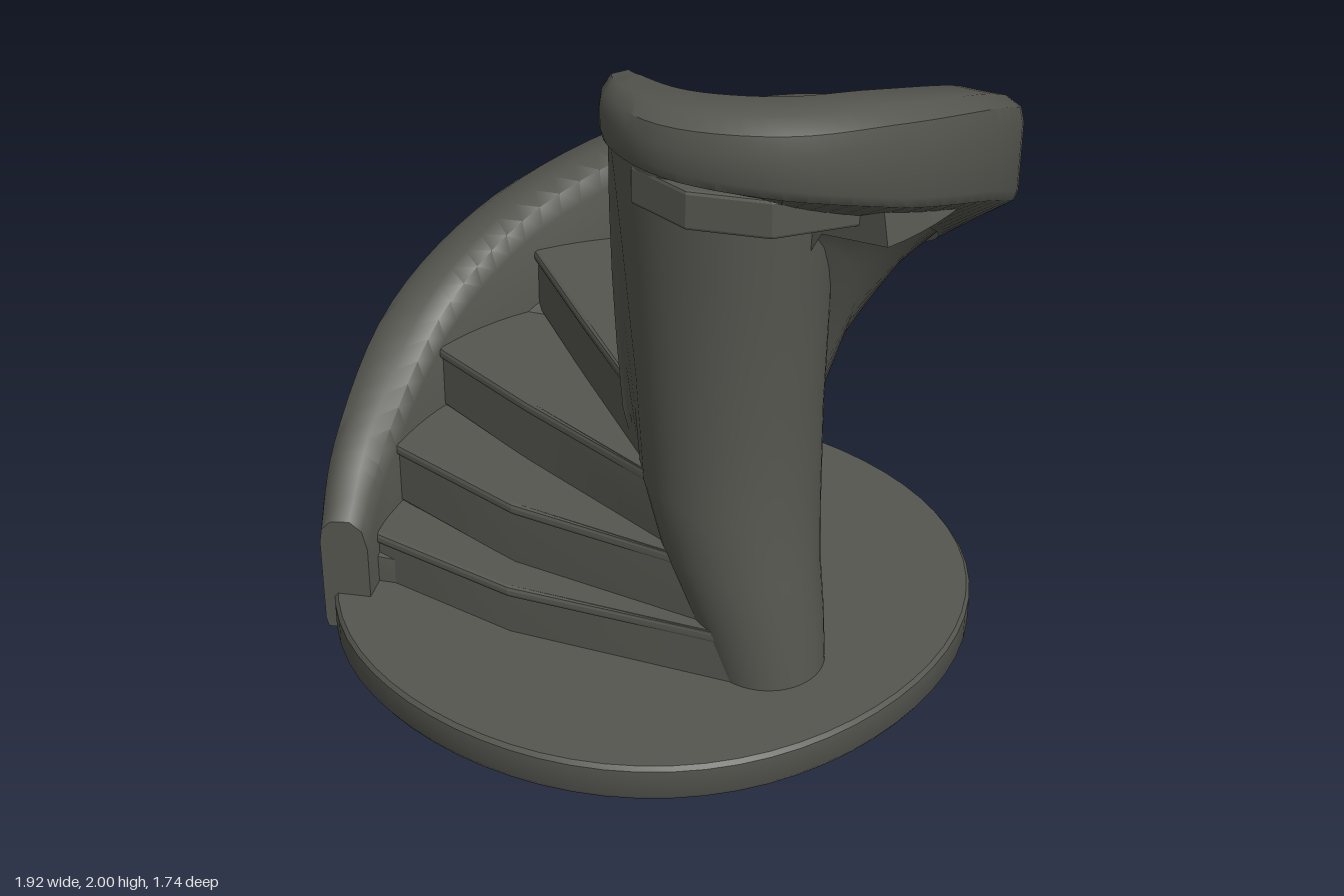
import * as THREE from 'three';
import { toCreasedNormals, mergeVertices } from 'three/addons/utils/BufferGeometryUtils.js';

const stone = new THREE.MeshStandardMaterial({ color: 0x55564f });
stone.name = 'dark stone';

const V = (x, y, z) => new THREE.Vector3(x, y, z);
const lerp = THREE.MathUtils.lerp;

// Solid skinned over closed rings of equal length, capped at both ends
function loft(rings, crease) {
  const n = rings[0].length, pts = rings.flat(), idx = [];
  for (let r = 0; r < rings.length - 1; r++)
    for (let i = 0; i < n; i++) {
      const a = r * n + i, b = r * n + (i + 1) % n;
      idx.push(a, b, a + n, b, b + n, a + n);
    }
  [0, rings.length - 1].forEach((r, end) => {
    const c = rings[r].reduce((s, p) => s.add(p), V(0, 0, 0)).divideScalar(n);
    pts.push(c);
    const ci = pts.length - 1;
    for (let i = 0; i < n; i++) {
      const a = r * n + i, b = r * n + (i + 1) % n;
      if (end) idx.push(a, b, ci); else idx.push(b, a, ci);
    }
  });
  // turn the faces outward if the enclosed volume is negative
  let vol = 0;
  const t = V(0, 0, 0);
  for (let i = 0; i < idx.length; i += 3)
    vol += pts[idx[i]].dot(t.crossVectors(pts[idx[i + 1]], pts[idx[i + 2]]));
  if (vol < 0) idx.reverse();
  const g = new THREE.BufferGeometry().setFromPoints(pts);
  g.setIndex(idx);
  return toCreasedNormals(mergeVertices(g), crease);
}

// Horizontal slab cut from a plan outline of [x, z] points
function plate(outline, top, depth, bevel) {
  const shape = new THREE.Shape(outline.map(([x, z]) => new THREE.Vector2(x, z)));
  const g = new THREE.ExtrudeGeometry(shape, {
    depth, bevelSize: bevel, bevelThickness: bevel, bevelSegments: 2,
  });
  return g.rotateX(Math.PI / 2).translate(0, top - bevel, 0);
}

// Rail stations: x, z, top height, bottom height, half width
const stations = [
  [-0.89, 0.06, 0.38, 0, 0.07], [-0.84, -0.15, 0.53, 0.12, 0.09], [-0.67, -0.45, 0.8, 0.47, 0.11],
  [-0.39, -0.66, 1.02, 0.73, 0.115], [0, -0.75, 1.2, 0.86, 0.115], [0.38, -0.66, 1.32, 0.96, 0.115],
  [0.66, -0.44, 1.42, 1.1, 0.11], [0.82, -0.16, 1.56, 1.25, 0.1], [0.86, 0.12, 1.71, 1.4, 0.1],
  [0.74, 0.42, 1.87, 1.58, 0.1], [0.51, 0.65, 1.97, 1.71, 0.11], [0.25, 0.745, 2, 1.8, 0.115],
  [0.03, 0.67, 1.99, 1.82, 0.11], [-0.08, 0.52, 1.97, 1.81, 0.08], [-0.1, 0.44, 1.95, 1.81, 0.055],
];
const path = new THREE.CatmullRomCurve3(stations.map((s) => V(s[0], 0, s[1])));
const sizes = new THREE.CatmullRomCurve3(stations.map((s) => V(s[2], s[3], s[4])), false, 'catmullrom', 0.5);

function railGeometry() {
  const rings = [], steps = 84;
  for (let i = 0; i <= steps; i++) {
    const t = i / steps, c = path.getPoint(t), d = path.getTangent(t);
    const { x: top, y: low, z: w } = sizes.getPoint(t);
    const bot = Math.max(0, low), inner = Math.max(0, low - 0.12);
    const profile = [[-w, inner], [-w, top - 0.09], [-w * 0.8, top - 0.03], [-w * 0.3, top],
      [w * 0.5, top - 0.005], [w * 0.9, top - 0.035], [w, top - 0.08], [w, bot + 0.03], [w * 0.9, bot]];
    rings.push(profile.map(([s, y]) => V(c.x + d.z * s, y, c.z - d.x * s)));
  }
  return loft(rings, 0.7);
}

// Body under the steps: a flaring wall from the base that winds up to the rail.
// Stations: top height, foot height, foot position from the column axis to the rail
const flare = [
  [0.2, 0.05, 0.97], [0.25, 0.05, 0.88], [0.44, 0.08, 0.65], [0.66, 0.08, 0.47], [0.86, 0.08, 0.36],
  [1.04, 0.1, 0.3], [1.2, 0.35, 0.32], [1.36, 0.65, 0.34], [1.58, 0.95, 0.35], [1.6, 1.15, 0.35], [1.6, 1.3, 0.35],
];
function undersideGeometry() {
  const curve = new THREE.CatmullRomCurve3(flare.map((f) => V(...f)), false, 'catmullrom', 0.5);
  const rings = [], last = flare.length - 1, steps = 60;
  for (let i = 0; i <= steps; i++) {
    const k = lerp(0.4, last, i / steps), t = k / (stations.length - 1);
    const c = path.getPoint(t), low = Math.max(0.02, sizes.getPoint(t).y + 0.005);
    const { x: top, y: footY, z: foot } = curve.getPoint(k / last);
    const at = (f, y) => V(lerp(0.2, c.x, f), y, lerp(0.3, c.z, f));
    const wall = (s, drop) => at(lerp(foot, 1.07, s), Math.min(lerp(low, Math.min(low, footY), drop), top - 0.03));
    rings.push([
      at(1, Math.max(top, low + 0.03)), wall(1, 0), wall(0.75, 0.13), wall(0.5, 0.28), wall(0.22, 0.53),
      wall(0, 1), at(0.1, Math.min(footY, top - 0.05)), at(0.1, top - 0.02), at(0.82, top - 0.01),
    ]);
  }
  return loft(rings, 0.9);
}

// Column: tall at the front, cut away under the winding steps at the back.
// Rows: share of the height, centre x and z, radius
function columnGeometry() {
  const heights = [1.5, 1.62, 1.64, 1.68, 1.76, 1.76, 1.72, 0.8, 0.82, 0.92, 1.08, 1.3];
  const rows = [[0, 0.3, 0.41, 0.16], [0.12, 0.265, 0.375, 0.19], [0.23, 0.225, 0.335, 0.22],
    [0.35, 0.2, 0.295, 0.245], [0.55, 0.19, 0.275, 0.255], [0.8, 0.175, 0.285, 0.275], [1, 0.16, 0.3, 0.29]];
  const sides = 48, rings = [];
  for (const [v, cx, cz, r] of rows) {
    const ring = [];
    for (let i = 0; i < sides; i++) {
      const a = (i / sides) * Math.PI * 2, h = (i / sides) * 12, j = Math.floor(h);
      const top = lerp(heights[j], heights[(j + 1) % 12], h - j);
      ring.push(V(cx + Math.cos(a) * r, lerp(0.1, top, v), cz + Math.sin(a) * r));
    }
    rings.push(ring);
  }
  return loft(rings, 0.9);
}

// Oval base disc with softened rims, slightly drawn in on the diagonals
function baseGeometry() {
  const rim = [[0, 0.01], [0.92, 0.01], [0.93, 0.025], [0.93, 0.11], [0.92, 0.123], [0, 0.123]];
  const disc = new THREE.LatheGeometry(rim.map(([x, y]) => new THREE.Vector2(x, y)), 64);
  const p = disc.attributes.position;
  for (let i = 0; i < p.count; i++) {
    const s = 1 - 0.022 * Math.sin(2 * Math.atan2(p.getZ(i), p.getX(i))) ** 2;
    p.setXYZ(i, p.getX(i) * s, p.getY(i), p.getZ(i) * s * 0.937);
  }
  return toCreasedNormals(disc, 0.6);
}

// Front edge of every step in plan: outer end, middle, inner end
const edges = [
  [[-0.81, -0.03], [-0.42, 0.26], [0.22, 0.54]],
  [[-0.76, -0.2], [-0.4, 0.15], [0.13, 0.47]],
  [[-0.63, -0.41], [-0.35, -0.06], [0.02, 0.37]],
  [[-0.32, -0.61], [-0.18, -0.17], [-0.04, 0.26]],
  [[0.02, -0.67], [0.2, -0.04], [-0.03, 0.24]],
  [[0.27, -0.63], [0.37, -0.24], [0.02, 0.23]],
  [[0.71, -0.23], [0.4, 0.06], [0.04, 0.24]],
  [[0.79, 0.12], [0.35, 0.23], [-0.07, 0.33]],
];

export function createModel() {
  const model = new THREE.Group();
  model.name = 'spiralStaircase';
  const add = (name, geometry) => {
    const mesh = new THREE.Mesh(geometry, stone);
    mesh.name = name;
    model.add(mesh);
  };

  add('base', baseGeometry());
  add('column', columnGeometry());
  add('underside', undersideGeometry());
  add('handrail', railGeometry());

  // winding steps: a riser wedge, shallow at its back outer end, and an overhanging tread
  const depths = [0.18, 0.19, 0.2, 0.2, 0.1, 0.03, 0.06];
  for (let i = 0; i < 7; i++) {
    const a = edges[i], b = edges[i + 1], top = 0.285 + i * 0.203;
    const bulge = [(a[0][0] + b[0][0]) * 0.53, (a[0][1] + b[0][1]) * 0.53];
    const outline = [...a, b[2], b[1], b[0], bulge];
    const ring = (y) => outline.map(([x, z], j) => V(x, y(j), z));
    add('riser' + (i + 1), loft([ring((j) => top - 0.015 - depths[j]), ring(() => top - 0.01)], 0.4));
    add('tread' + (i + 1), plate(outline, top, 0.012, 0.012));
  }

  // landing enclosed by the upper end of the rail
  const landing = [...edges[7].slice().reverse(), [0.72, 0.39], [0.49, 0.59], [0.25, 0.65], [0.05, 0.59], [-0.07, 0.45]];
  add('landing', plate(landing, 1.7, 0.09, 0.01));
  return model;
}
